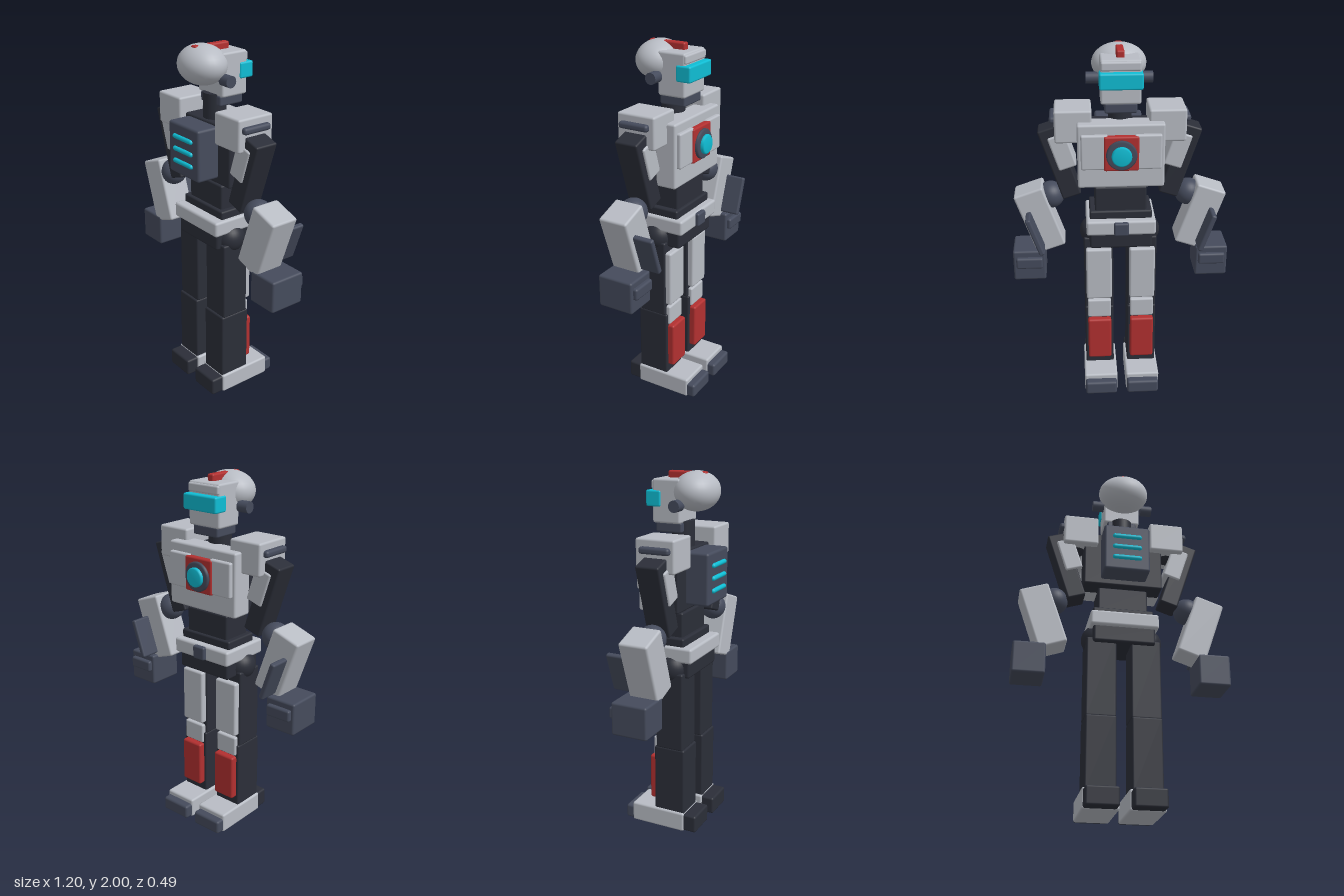
import * as THREE from 'three';
import { RoundedBoxGeometry } from 'three/addons/geometries/RoundedBoxGeometry.js';

const mat = (color) => new THREE.MeshStandardMaterial({ color });

export function createModel() {
  const light = mat(0xb8bcc4), dark = mat(0x2b2e38), mid = mat(0x454b5c);
  const red = mat(0xb23030), cyan = mat(0x0fbdd4);
  const model = new THREE.Group();
  model.name = 'robot';

  const add = (parent, name, geometry, material, x = 0, y = 0, z = 0) => {
    const mesh = new THREE.Mesh(geometry, material);
    mesh.name = name;
    mesh.position.set(x, y, z);
    parent.add(mesh);
    return mesh;
  };
  // Softly rounded block given by its extents on each axis
  const block = (parent, name, material, [x0, x1], [y0, y1], [z0, z1], r = 0.01) => {
    const w = x1 - x0, h = y1 - y0, d = z1 - z0;
    const radius = Math.min(r, Math.min(w, h, d) * 0.45);
    return add(parent, name, new RoundedBoxGeometry(w, h, d, 2, radius), material,
      (x0 + x1) / 2, (y0 + y1) / 2, (z0 + z1) / 2);
  };
  const ball = (parent, name, material, r, x, y, z) =>
    add(parent, name, new THREE.SphereGeometry(r, 32, 20), material, x, y, z);
  // Disc along z with a bevelled rim, growing towards -z
  const disc = (name, material, r, y, z0, z1) => {
    const d = z0 - z1, b = 0.008;
    const profile = [[0, 0], [r, 0], [r, d - b], [r - b, d], [0, d]].map(([a, c]) => new THREE.Vector2(a, c));
    const mesh = add(model, name, new THREE.LatheGeometry(profile, 40), material, 0, y, z0);
    mesh.rotation.x = -Math.PI / 2;
    return mesh;
  };
  const group = (name) => {
    const g = new THREE.Group();
    g.name = name;
    model.add(g);
    return g;
  };

  // Head
  const head = group('head');
  block(head, 'face', light, [-0.105, 0.105], [1.73, 1.96], [-0.11, 0.05], 0.012);
  block(head, 'brow', light, [-0.103, 0.103], [1.905, 1.952], [-0.118, -0.03]);
  block(head, 'visor', cyan, [-0.112, 0.112], [1.815, 1.9], [-0.146, -0.06]);
  block(head, 'jaw', mid, [-0.085, 0.085], [1.68, 1.735], [-0.1, 0.05]);
  block(head, 'crest', red, [-0.021, 0.021], [1.95, 1.996], [-0.06, 0.158]);
  ball(head, 'helmet', light, 1, 0, 1.895, 0.1).scale.set(0.145, 0.105, 0.122);
  add(head, 'neck', new THREE.CylinderGeometry(0.063, 0.063, 0.14, 32), dark, 0, 1.67, 0.02);
  for (const s of [1, -1]) {
    const ear = add(head, 'earPod', new THREE.CylinderGeometry(0.031, 0.031, 0.065, 24), mid, s * 0.143, 1.83, 0.05);
    ear.rotation.z = Math.PI / 2;
  }

  // Torso
  block(model, 'backPlate', dark, [-0.225, 0.225], [1.28, 1.605], [-0.02, 0.1]);
  block(model, 'chest', light, [-0.23, 0.23], [1.28, 1.63], [-0.13, -0.01], 0.012);
  block(model, 'chestBadge', red, [-0.092, 0.092], [1.385, 1.575], [-0.16, -0.12]);
  disc('chestRing', mid, 0.081, 1.475, -0.15, -0.177);
  disc('chestLamp', cyan, 0.053, 1.475, -0.16, -0.196);
  block(model, 'backpack', mid, [-0.13, 0.13], [1.312, 1.595], [0.09, 0.228], 0.014);
  for (const y of [1.523, 1.455, 1.388]) {
    const vent = add(model, 'vent', new THREE.CapsuleGeometry(0.013, 0.14, 6, 12), cyan, 0, y, 0.23);
    vent.rotation.z = Math.PI / 2;
  }

  // Waist
  block(model, 'abdomen', dark, [-0.14, 0.14], [1.12, 1.265], [-0.09, 0.085]);
  block(model, 'ribbing', dark, [-0.17, 0.17], [1.08, 1.13], [-0.105, 0.105]);
  block(model, 'belt', light, [-0.19, 0.19], [1.0, 1.085], [-0.145, 0.16], 0.014);
  block(model, 'buckle', mid, [-0.04, 0.04], [1.005, 1.08], [-0.165, -0.13]);
  block(model, 'pelvis', dark, [-0.172, 0.172], [0.91, 1.01], [-0.12, 0.14], 0.014);

  // Limbs: built for the +x side, x extents swapped for the other
  for (const s of [1, -1]) {
    const side = s > 0 ? 'left' : 'right';
    const span = (a, b) => (s > 0 ? [a, b] : [-b, -a]);
    const tilted = (name, x, y, degrees) => {
      const g = group(side + name);
      g.position.set(s * x, y, 0);
      g.rotation.z = -s * THREE.MathUtils.degToRad(degrees);
      return g;
    };

    block(model, 'chestPanel', light, span(0.07, 0.212), [1.39, 1.58], [-0.152, -0.12]);

    // Arm
    block(model, side + 'Shoulder', light, span(0.15, 0.347), [1.515, 1.69], [-0.081, 0.14], 0.012);
    block(model, side + 'ShoulderBar', mid, span(0.33, 0.373), [1.613, 1.65], [-0.052, 0.12], 0.015);
    ball(model, side + 'ShoulderJoint', dark, 0.065, s * 0.265, 1.555, 0.03);
    const upperArm = tilted('UpperArm', 0.325, 1.385, 18);
    block(upperArm, 'upperArmShell', dark, span(-0.053, 0.053), [-0.205, 0.205], [-0.035, 0.098]);
    block(upperArm, 'upperArmPanel', light, span(-0.085, 0.015), [-0.038, 0.155], [-0.045, 0.108]);
    ball(model, side + 'Elbow', mid, 0.075, s * 0.38, 1.18, 0.03);
    const forearm = tilted('Forearm', 0.444, 1.055, 19);
    block(forearm, 'forearmShell', light, span(-0.084, 0.084), [-0.182, 0.182], [-0.057, 0.107], 0.012);
    block(forearm, 'forearmBlade', mid, span(0.025, 0.055), [-0.15, 0.075], [-0.168, -0.045]);
    block(model, side + 'Hand', mid, span(0.42, 0.6), [0.71, 0.89], [-0.095, 0.11], 0.012);
    block(model, side + 'Knuckles', mid, span(0.435, 0.583), [0.79, 0.855], [-0.118, -0.08], 0.012);

    // Leg
    ball(model, side + 'Hip', dark, 0.085, s * 0.14, 0.955, 0.03);
    block(model, side + 'Thigh', dark, span(0.04, 0.205), [0.49, 0.94], [-0.047, 0.115]);
    block(model, side + 'ThighPlate', light, span(0.05, 0.195), [0.56, 0.88], [-0.08, -0.03], 0.012);
    block(model, side + 'Knee', light, span(0.055, 0.19), [0.43, 0.545], [-0.071, -0.03]);
    block(model, side + 'Shin', dark, span(0.04, 0.205), [0.1, 0.495], [-0.058, 0.125]);
    block(model, side + 'ShinPlate', red, span(0.055, 0.19), [0.16, 0.425], [-0.095, -0.04], 0.012);
    block(model, side + 'Foot', light, span(0.025, 0.217), [0, 0.112], [-0.2, 0.128], 0.012);
    block(model, side + 'Toe', mid, span(0.03, 0.212), [0.005, 0.085], [-0.245, -0.17], 0.014);
    block(model, side + 'Heel', dark, span(0.035, 0.21), [0.005, 0.105], [0.1, 0.2], 0.012);
  }
  return model;
}
